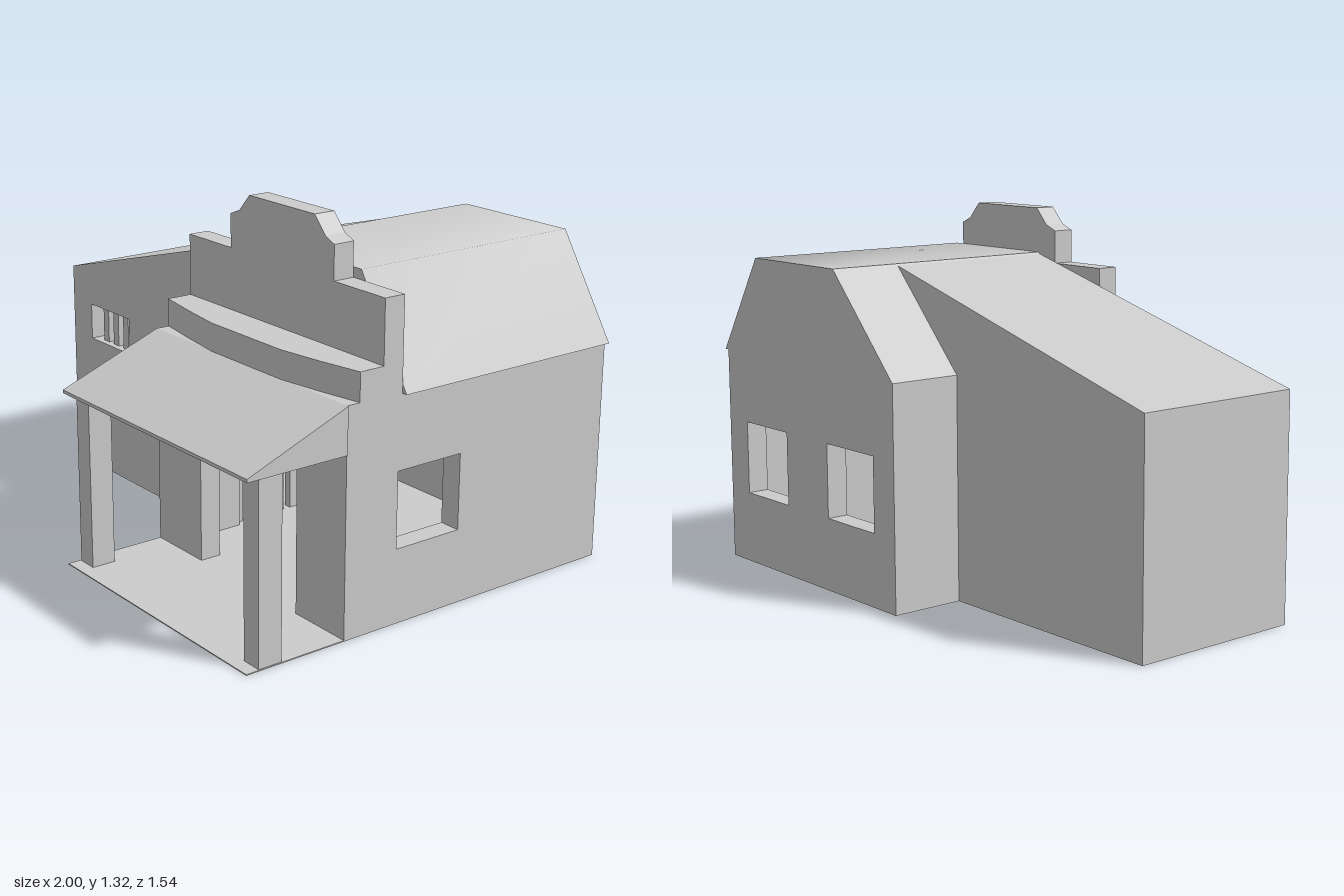
import * as THREE from 'three';
import { toCreasedNormals } from 'three/addons/utils/BufferGeometryUtils.js';

const material = new THREE.MeshStandardMaterial({ color: 0xcccccc, side: THREE.DoubleSide });

const rect = (a, b, c, d) => [[a, c], [b, c], [b, d], [a, d]];

// Extrude a polygon with holes along +z by depth
function slab(points, depth, holes = []) {
  const toVectors = (list) => list.map(([x, y]) => new THREE.Vector2(x, y));
  const shape = new THREE.Shape(toVectors(points));
  holes.forEach((h) => shape.holes.push(new THREE.Path(toVectors(h))));
  return new THREE.ExtrudeGeometry(shape, { depth, bevelEnabled: false });
}

export function createModel() {
  const model = new THREE.Group();
  const add = (name, geometry, x = 0, y = 0, z = 0) => {
    const mesh = new THREE.Mesh(geometry, material);
    mesh.name = name;
    mesh.position.set(x, y, z);
    model.add(mesh);
    return mesh;
  };
  const box = (name, x0, x1, y0, y1, z0, z1) =>
    add(name, new THREE.BoxGeometry(x1 - x0, y1 - y0, z1 - z0),
      (x0 + x1) / 2, (y0 + y1) / 2, (z0 + z1) / 2);
  // Wall facing front or back: polygon in x and y, back face at z
  const frontWall = (name, points, z, depth, holes) => add(name, slab(points, depth, holes), 0, 0, z);
  // Wall facing sideways: polygon in z and y, extending from outer x toward -x
  const sideWall = (name, points, x, depth, holes) =>
    add(name, slab(points, depth, holes).rotateY(-Math.PI / 2), x);

  const T = 0.08;              // wall thickness
  const L = -0.07, R = 0.98;   // main building sides
  const B = -0.77, F = 0.38;   // main building back and front
  const WB = -0.5, WF = 0.155; // side wing back and front
  const H = 0.8;               // wall height

  // Floors
  box('mainFloor', L, R, 0, 0.004, B, F);
  box('wingFloor', -1, L, 0, 0.004, WB, WF);
  box('porchFloor', L, R, 0, 0.004, F, 0.77);

  // Main building walls
  frontWall('frontWall', [[L, 0], [0.19, 0], [0.19, 0.65], [0.73, 0.65], [0.73, 0], [R, 0], [R, H], [L, H]], F - T, T);
  frontWall('backWall', rect(L, R, 0, H), B, T,
    [rect(0.05, 0.33, 0.265, 0.535), rect(0.59, 0.86, 0.265, 0.535)]);
  sideWall('leftWall', rect(B + T, F - T, 0, H), R, T, [rect(-0.105, 0.165, 0.265, 0.535)]);
  sideWall('partitionWall', rect(B + T, F - T, 0, H), L + T, T, [rect(-0.42, 0.08, 0.004, 0.65)]);

  // Bars across the partition opening
  for (let i = 0; i < 8; i++) {
    const z = 0.062 - i * 0.064;
    box('partitionBar', L + 0.025, L + 0.055, 0.004, 0.65, z - 0.017, z + 0.017);
  }

  // Side wing: front wall with barred window, back and end walls
  const wingSlope = [[-1, 0], [L, 0], [L, 1.055], [-1, H]];
  frontWall('wingFrontWall', wingSlope, WF - T, T, [rect(-0.87, -0.6, 0.53, 0.67)]);
  frontWall('wingBackWall', wingSlope, WB, T);
  sideWall('wingEndWall', rect(WB + T, WF - T, 0, H), -1 + T, T);
  for (const x of [-0.803, -0.733, -0.663]) {
    box('wingWindowBar', x - 0.018, x + 0.018, 0.53, 0.67, WF - 0.06, WF - 0.025);
  }

  // Wing roof runs up to the flat top of the main roof
  frontWall('wingRoof', [[-1, H], [0.27, H], [0.27, 1.15]], WB, WF - WB);

  // Main roof: flat sloping part, and a softly shaded part with a small overhang
  frontWall('roofRightSlope', [[L, H], [0.27, H], [0.27, 1.155]], B, WF - B);
  const roof = slab([[0.27, 0.795], [1, 0.795], [0.77, 1.155], [0.27, 1.155]], WF - B);
  add('roofLeftSlope', toCreasedNormals(roof, THREE.MathUtils.degToRad(62)), 0, 0, B);

  // Bowed ledge above the porch
  const bow = [[L, WF], [L, 0.33], [0.1, 0.36], [0.27, 0.385], [0.65, 0.385], [0.82, 0.36], [R, 0.33], [R, WF]];
  add('bowedLedge', slab(bow.map(([x, z]) => [x, -z]), 0.1).rotateX(-Math.PI / 2), 0, H);

  // Stepped parapet
  frontWall('parapet', [
    [L, 0.9], [R, 0.9], [R, 1.12], [0.73, 1.12], [0.73, 1.24], [0.685, 1.26], [0.63, 1.32],
    [0.28, 1.32], [0.225, 1.26], [0.175, 1.24], [0.175, 1.12], [L, 1.12],
  ], WF, T);

  // Porch roof and posts
  sideWall('porchRoof', [[F, 0.638], [0.77, 0.638], [0.77, 0.65], [F, H]], 0.985, 0.985 - L);
  for (const x of [-0.065, 0.9]) box('porchPost', x, x + 0.077, 0, 0.638, 0.63, 0.72);

  return model;
}
